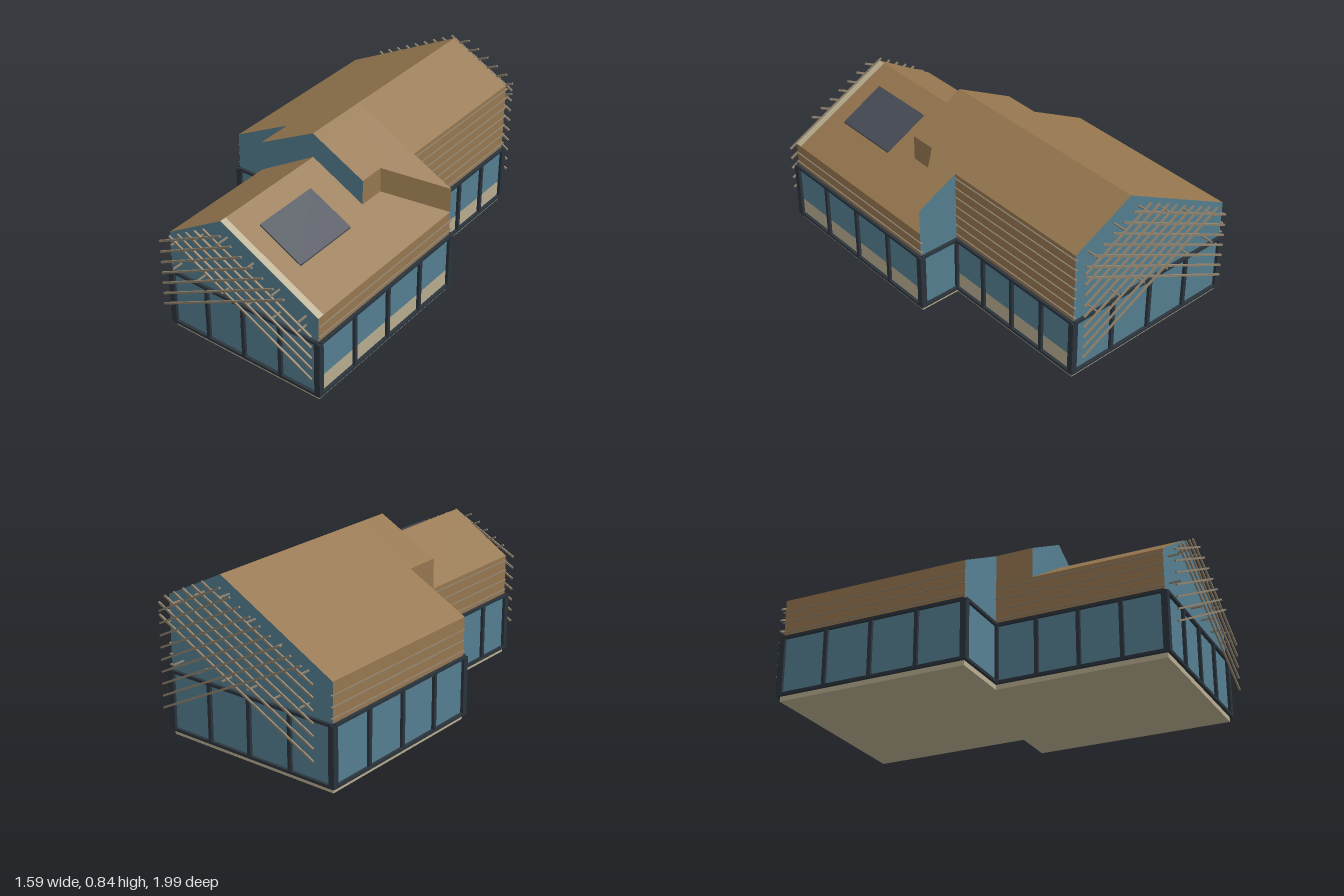
import * as THREE from 'three';

const mat = (color) => new THREE.MeshStandardMaterial({ color, side: THREE.DoubleSide, flatShading: true });

export function createModel() {
  const wood = mat(0x96774f), glass = mat(0x557f92), frame = mat(0x2b343c);
  const stone = mat(0xb8ad90), slatMat = mat(0x8f816c), dark = mat(0x474c56);

  const root = new THREE.Group();
  root.name = 'house';
  const house = new THREE.Group();
  house.name = 'turnedHouse';
  house.rotation.y = 0.2548; // the house stands at an angle to the axes
  root.add(house);

  const add = (name, geo, m, parent = house) => {
    const mesh = new THREE.Mesh(geo, m);
    mesh.name = name;
    parent.add(mesh);
    return mesh;
  };

  // flat panel, fanned from its first corner
  const panel = (name, m, pts) => {
    const pos = [];
    for (let i = 1; i < pts.length - 1; i++) pos.push(...pts[0], ...pts[i], ...pts[i + 1]);
    const geo = new THREE.BufferGeometry();
    geo.setAttribute('position', new THREE.Float32BufferAttribute(pos, 3));
    geo.computeVertexNormals();
    return add(name, geo, m);
  };

  // square bar between two points
  const beam = (name, m, a, b, w, h, parent) => {
    const p = new THREE.Vector3(...a), q = new THREE.Vector3(...b);
    const mesh = add(name, new THREE.BoxGeometry(w, h, p.distanceTo(q)), m, parent);
    mesh.position.copy(p).add(q).multiplyScalar(0.5);
    mesh.quaternion.setFromRotationMatrix(new THREE.Matrix4().lookAt(q, p, new THREE.Vector3(0, 1, 0)));
    return mesh;
  };

  // main dimensions: rear wing (1) and front wing (2) share one ridge line
  const L1 = -0.578, R1 = 0.352, back = -0.873, step1 = 0.073;
  const L2 = -0.27, R2 = 0.563, front = 0.89, step2 = -0.085;
  const ridge = 0.037, top1 = 0.84, top2 = 0.715, end1 = 0.258, sill = 0.025, head = 0.315;
  const roof1 = (x) => (x < ridge ? top1 - 0.537 * (ridge - x) : top1 - 0.508 * (x - ridge));
  const roof2 = (x) => (x < ridge ? top2 - 0.62 * (ridge - x) : top2 - 0.513 * (x - ridge));
  const on1 = (x, z) => [x, roof1(x), z];
  const on2 = (x, z, lift = 0) => [x, roof2(x) + lift, z];

  // base slab
  const plan = [[L1, back], [R1, back], [R1, step2], [R2, step2], [R2, front], [L2, front], [L2, step1], [L1, step1]];
  const slab = new THREE.ExtrudeGeometry(
    new THREE.Shape(plan.map(([x, z]) => new THREE.Vector2(x, -z))), { depth: sill, bevelEnabled: false });
  slab.rotateX(-Math.PI / 2);
  add('baseSlab', slab, stone);

  // roofs
  const inX = 0.317, inZ = 0.125; // inner corner of the flared rear roof
  panel('rearRoofLeft', wood, [on1(L1, back), on1(L1, step1), on1(ridge, step1), on1(ridge, back)]);
  panel('rearRoofLeftEnd', wood, [on1(L2, step1), on1(L2, end1), on1(ridge, end1), on1(ridge, step1)]);
  panel('rearRoofRight', wood, [on1(ridge, back), on1(ridge, step2), on1(R1, step2), on1(R1, back)]);
  panel('rearRoofFlare', wood,
    [on1(inX, inZ), on1(R2, step2), on1(ridge, step2), on1(ridge, end1), on1(inX, end1)]);
  panel('frontRoofLeft', wood, [on2(L2, end1), on2(L2, front), on2(ridge, front), on2(ridge, end1)]);
  panel('frontRoofRight', wood, [on2(ridge, step2), on2(ridge, 0.855), on2(R2, 0.855), on2(R2, step2)]);
  panel('roofEdgeStrip', stone, [on2(ridge, 0.855), on2(ridge, front), on2(R2, front), on2(R2, 0.855)]);

  // cheeks between the two roofs
  panel('roofCheek', wood, [on2(inX, end1), on2(inX, inZ), on1(inX, inZ), on1(inX, end1)]);
  panel('roofCheekSlanted', wood, [on2(inX, inZ), on2(R2, step2), on1(R2, step2), on1(inX, inZ)]);

  // skylight
  const sky = [[0.142, 0.408], [0.142, 0.757], [0.364, 0.757], [0.364, 0.408]];
  panel('skylight', dark, sky.map(([x, z]) => on2(x, z, 0.008)));
  sky.forEach(([x, z], i) => {
    const [x2, z2] = sky[(i + 1) % 4];
    panel('skylightEdge', dark, [on2(x, z), on2(x2, z2), on2(x2, z2, 0.008), on2(x, z, 0.008)]);
  });

  // glazed gables
  panel('frontGable', glass, [[L2, sill, front], [R2, sill, front], on2(R2, front), on2(ridge, front), on2(L2, front)]);
  panel('backGable', glass, [[R1, sill, back], [L1, sill, back], on1(L1, back), on1(ridge, back), on1(R1, back)]);
  panel('upperGable', glass, [on2(L2, end1), on2(inX, end1), on1(inX, end1), on1(ridge, end1), on1(L2, end1)]);
  panel('leftStepWall', glass, [[L1, sill, step1], [L2, sill, step1], on1(L2, step1), on1(L1, step1)]);
  panel('rightStepWall', glass, [[R2, sill, step2], [R1, sill, step2], on1(R1, step2), on1(R2, step2)]);

  // long side walls: glazing below, boarded wood above; the right side has a parapet
  const sideWall = (x, z0, z1, top, side) => {
    const strip = (name, m, y0, y1) => panel(name, m, side > 0
      ? [[x, y0, z1], [x, y0, z0], [x, y1, z0], [x, y1, z1]]
      : [[x, y0, z0], [x, y0, z1], [x, y1, z1], [x, y1, z0]]);
    const low = side > 0 ? 0.12 : sill;
    if (side > 0) strip('parapet', stone, sill, low);
    strip('sideGlazing', glass, low, head);
    strip('sideBoarding', wood, head, top);
    for (let y = head + 0.03; y < top - 0.02; y += 0.052)
      beam('boardSlat', slatMat, [x, y, z0 - 0.01], [x, y, z1], 0.012, 0.005);
  };
  sideWall(L1, back, step1, roof1(L1), -1);
  sideWall(L2, step1, front, roof2(L2), -1);
  sideWall(R1, back, step2, roof1(R1), 1);
  sideWall(R2, step2, front, roof2(R2), 1);
  panel('upperLeftBoarding', wood, [on2(L2, step1), on2(L2, end1), on1(L2, end1), on1(L2, step1)]);

  // window frames: rails along every wall, posts dividing it into bays
  const frames = new THREE.Group();
  frames.name = 'windowFrames';
  house.add(frames);
  plan.forEach(([x0, z0], i) => {
    const [x1, z1] = plan[(i + 1) % plan.length];
    const len = Math.hypot(x1 - x0, z1 - z0), bays = len > 0.5 ? 4 : 1;
    for (const y of [sill + 0.006, head])
      beam('rail', frame, [x0, y, z0], [x1, y, z1], 0.03, 0.014, frames);
    for (let k = 0; k < bays; k++) {
      const post = add('post', new THREE.BoxGeometry(k ? 0.018 : 0.03, head - sill, k ? 0.018 : 0.03), frame, frames);
      const t = k / bays;
      post.position.set(x0 + (x1 - x0) * t, (head + sill) / 2, z0 + (z1 - z0) * t);
      if (k) post.scale.set(Math.abs(x1 - x0) > 0.1 ? 1 : 1.6, 1, Math.abs(x1 - x0) > 0.1 ? 1.6 : 1);
    }
  });

  // crossed sun screen standing off each gable
  const screen = (name, xl, xr, wallZ, z, roof, sl, sr) => {
    const g = new THREE.Group();
    g.name = name;
    house.add(g);
    const s = 0.51, gap = 0.058, top = roof(ridge);
    for (let y = 0.155; y < roof(xl) - 0.01; y += gap) {
      const x = Math.min(xr, (top + sr * ridge - y + s * xl) / (s + sr));
      beam('risingSlat', slatMat, [xl, y, z], [x, y + s * (x - xl), z], 0.008, 0.009, g);
    }
    for (let y = 0.155; y < roof(xr) - 0.01; y += gap) {
      const x = Math.max(xl, (y + s * xr - top + sl * ridge) / (s + sl));
      beam('fallingSlat', slatMat, [xr, y, z], [x, y + s * (xr - x), z], 0.008, 0.009, g);
    }
    for (let k = 0; k < 6; k++) {
      const x = xl + (xr - xl) * (k + 0.5) / 6;
      for (const y of [roof(x) - 0.05, 0.38])
        beam('standOff', slatMat, [x, y, wallZ], [x, y, z], 0.007, 0.007, g);
    }
  };
  screen('frontScreen', -0.28, 0.568, front, 0.947, roof2, 0.62, 0.513);
  screen('backScreen', -0.525, 0.352, back, -0.937, roof1, 0.537, 0.508);

  return root;
}
